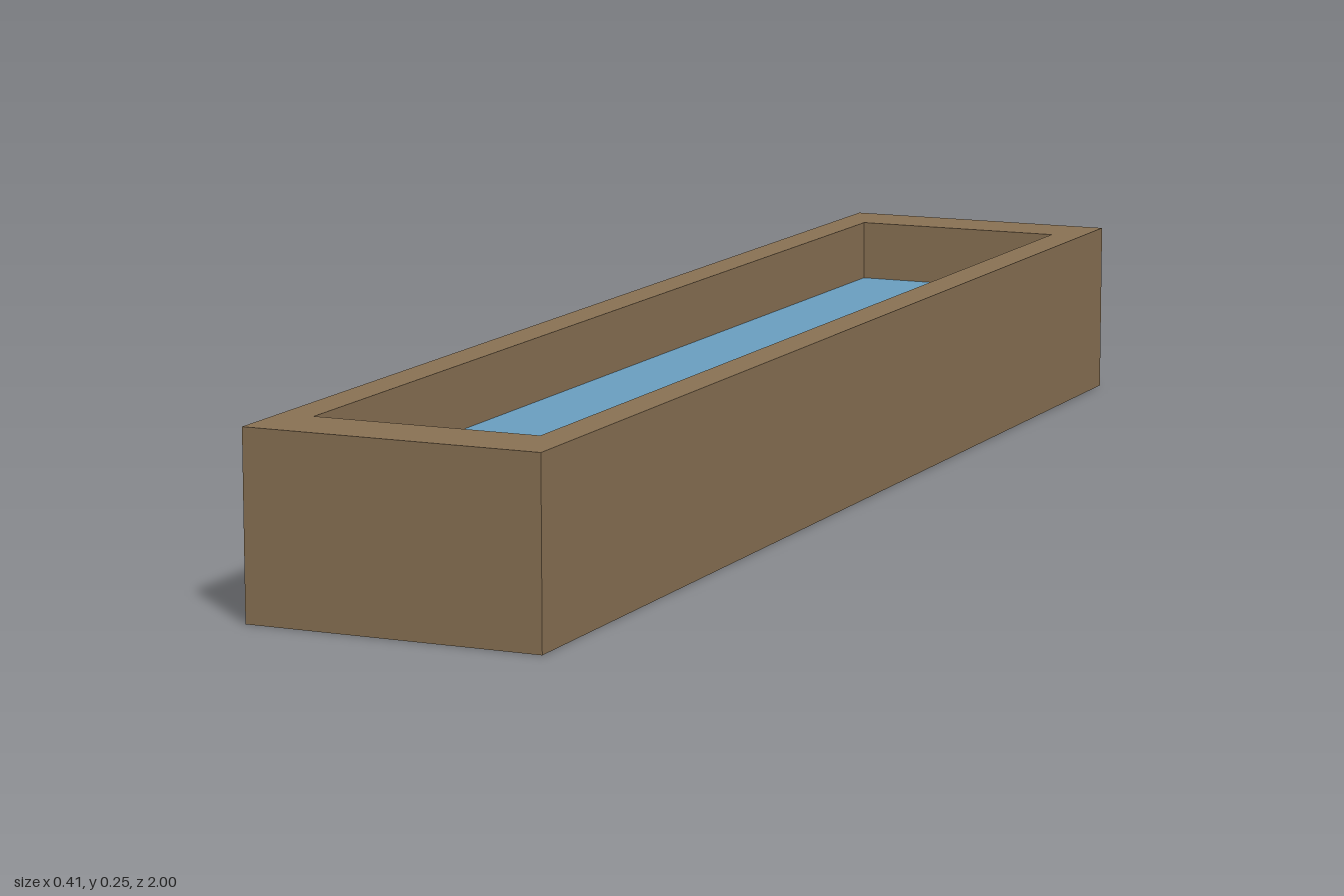
import * as THREE from 'three';

const WIDTH = 0.41, LENGTH = 2, HEIGHT = 0.25;
const INNER_WIDTH = 0.314, INNER_LENGTH = 1.806;
const BASE = 0.05, WATER_LEVEL = 0.162;

// Traces a centred rectangle on a Shape or Path
function rectangle(path, w, l) {
  path.moveTo(-w / 2, -l / 2);
  path.lineTo(w / 2, -l / 2);
  path.lineTo(w / 2, l / 2);
  path.lineTo(-w / 2, l / 2);
  path.closePath();
  return path;
}

export function createModel() {
  const group = new THREE.Group();
  group.name = 'waterTrough';

  const wood = new THREE.MeshStandardMaterial({ color: 0x8b7355 });
  wood.name = 'brown wood';
  const blue = new THREE.MeshStandardMaterial({ color: 0x6ba0c2 });
  blue.name = 'water blue';

  const add = (name, geometry, material, y) => {
    const mesh = new THREE.Mesh(geometry, material);
    mesh.name = name;
    mesh.position.y = y;
    group.add(mesh);
  };

  // Four walls as one rectangular ring
  const outline = rectangle(new THREE.Shape(), WIDTH, LENGTH);
  outline.holes.push(rectangle(new THREE.Path(), INNER_WIDTH, INNER_LENGTH));
  const walls = new THREE.ExtrudeGeometry(outline, { depth: HEIGHT - BASE, bevelEnabled: false });
  walls.rotateX(-Math.PI / 2);
  add('walls', walls, wood, BASE);

  // Solid floor under the walls
  add('base', new THREE.BoxGeometry(WIDTH, BASE, LENGTH), wood, BASE / 2);

  // Water surface, set below the rim
  const water = new THREE.PlaneGeometry(INNER_WIDTH, INNER_LENGTH).rotateX(-Math.PI / 2);
  add('water', water, blue, WATER_LEVEL);

  return group;
}
